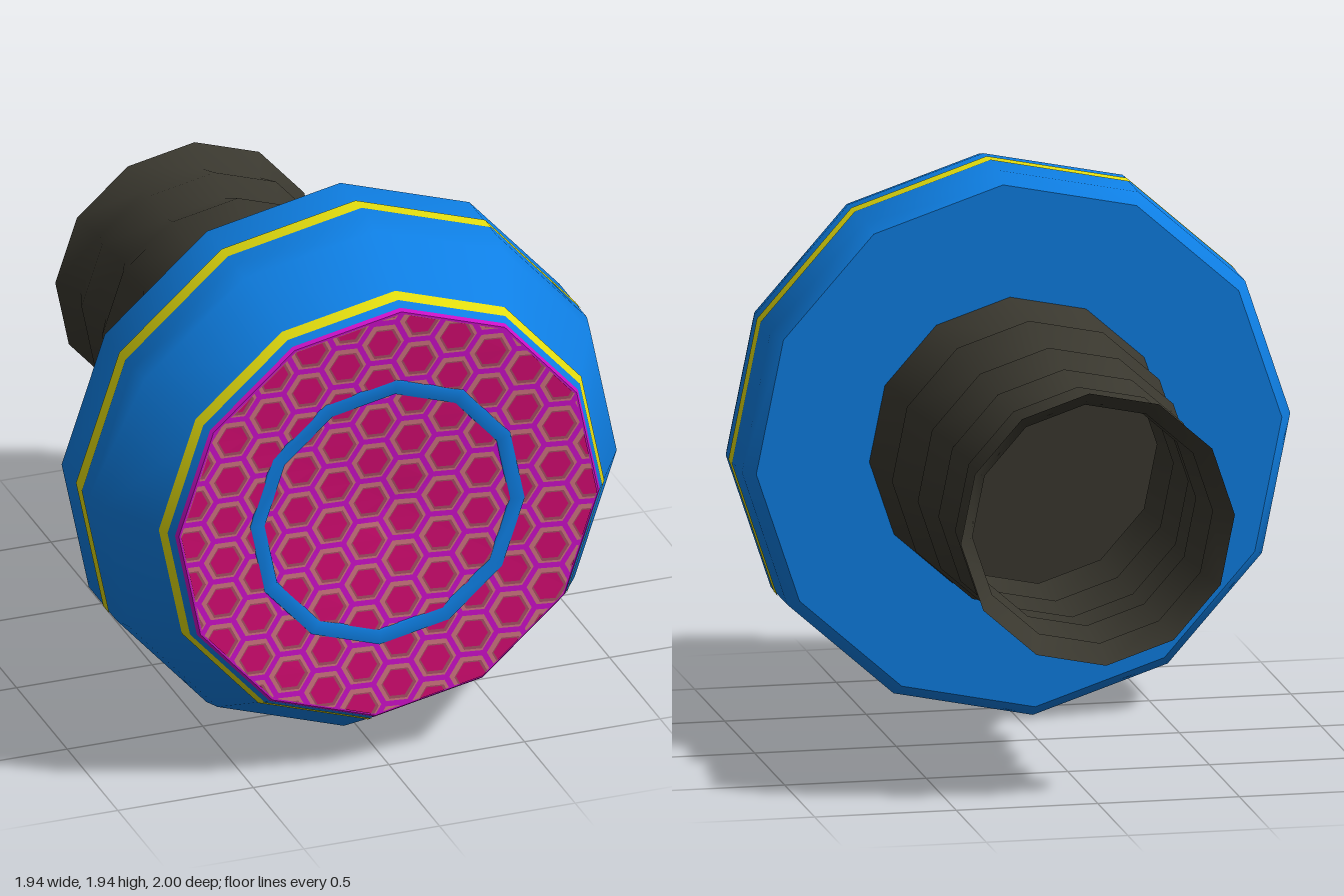
import * as THREE from 'three';

const SIDES = 12, CENTRE_Y = 0.97, TILT = -3.5 * Math.PI / 180;

const mat = (name, color, side = THREE.FrontSide) => {
  const m = new THREE.MeshStandardMaterial({ color, side });
  m.name = name;
  return m;
};

// Twelve-sided surface of revolution about z; profile points are [radius, z]
function turned(name, profile, material) {
  const geo = new THREE.LatheGeometry(profile.map(([r, z]) => new THREE.Vector2(r, z)), SIDES);
  geo.rotateX(Math.PI / 2);
  const mesh = new THREE.Mesh(geo, material);
  mesh.name = name;
  return mesh;
}

// Unit normals of the twelve sides of the face
const sideNormals = Array.from({ length: SIDES }, (_, i) => {
  const a = (i + 0.5) * 2 * Math.PI / SIDES;
  return [Math.cos(a), Math.sin(a)];
});
const polyRadius = (x, y) =>
  Math.max(...sideNormals.map(([nx, ny]) => x * nx + y * ny)) / Math.cos(Math.PI / SIDES);

// Height of the shallow dish at a given radius
const dishZ = r => 0.952 + 0.058 * r;

// Cut a polygon to the twelve-sided outline of the face
function clipToFace(poly, radius) {
  const limit = radius * Math.cos(Math.PI / SIDES);
  for (const [nx, ny] of sideNormals) {
    const out = [];
    poly.forEach((p, i) => {
      const q = poly[(i + 1) % poly.length];
      const dp = p[0] * nx + p[1] * ny - limit, dq = q[0] * nx + q[1] * ny - limit;
      if (dp <= 0) out.push(p);
      if ((dp <= 0) !== (dq <= 0)) {
        const t = dp / (dp - dq);
        out.push([p[0] + (q[0] - p[0]) * t, p[1] + (q[1] - p[1]) * t]);
      }
    });
    poly = out;
    if (poly.length < 3) return [];
  }
  return poly;
}

// Honeycomb of thin hexagons lying on the dish
function honeycomb(name, size, lift, shift, material) {
  const pitch = 0.155, pos = [];
  for (let i = -8; i <= 8; i++) {
    for (let j = -12; j <= 12; j++) {
      const cx = -0.06 + i * pitch * Math.sqrt(3) / 2 + shift;
      const cy = -0.114 + (j + (Math.abs(i) % 2) / 2) * pitch - shift;
      if (Math.hypot(cx, cy) > 0.9) continue;
      const hex = Array.from({ length: 6 }, (_, k) =>
        [cx + size * Math.cos(k * Math.PI / 3), cy + size * Math.sin(k * Math.PI / 3)]);
      const pts = clipToFace(hex, 0.768).map(([x, y]) => [x, y, dishZ(polyRadius(x, y)) + lift]);
      for (let k = 1; k < pts.length - 1; k++) pos.push(...pts[0], ...pts[k], ...pts[k + 1]);
    }
  }
  const geo = new THREE.BufferGeometry();
  geo.setAttribute('position', new THREE.Float32BufferAttribute(pos, 3));
  geo.computeVertexNormals();
  const mesh = new THREE.Mesh(geo, material);
  mesh.name = name;
  return mesh;
}

export function createModel() {
  const blue = mat('blue', 0x0e7fe4);
  const yellow = mat('yellow', 0xe4de0e);
  const magenta = mat('magenta', 0xcc10c8);
  const crimson = mat('crimson', 0xd40b72);
  const salmon = mat('salmon', 0xd07480);
  const brown = mat('brown', 0xa85066);
  const charcoal = mat('charcoal', 0x3a382f, THREE.DoubleSide);

  const model = new THREE.Group();
  model.name = 'model';
  const head = new THREE.Group();
  head.name = 'head';
  const hose = new THREE.Group();
  hose.name = 'hose';

  // Drum-shaped housing
  head.add(
    turned('backPlate', [[0.45, 0.31], [0.93, 0.31]], blue),
    turned('housing', [[0.93, 0.31], [0.97, 0.36], [0.97, 0.63], [0.95, 0.71], [0.785, 0.985]], blue),
    turned('sideStripe', [[0.973, 0.51], [0.973, 0.57]], yellow),
    turned('frontStripe', [[0.823, 0.927], [0.803, 0.96]], yellow)
  );

  // Dished honeycomb face with a ring
  head.add(
    turned('faceRim', [[0.785, 0.985], [0.775, dishZ(0.775)]], magenta),
    turned('face', [[0.775, dishZ(0.775)], [0.4, dishZ(0.4)], [0, dishZ(0)]], magenta),
    honeycomb('cellBorders', 0.078, 0.002, 0, salmon),
    honeycomb('cellShades', 0.064, 0.004, 0.004, brown),
    honeycomb('cells', 0.055, 0.006, 0, crimson),
    turned('faceRing', [[0.508, dishZ(0.508)], [0.505, dishZ(0.505) + 0.009],
      [0.455, dishZ(0.455) + 0.009], [0.452, dishZ(0.452)]], blue)
  );

  // Ribbed open hose, listed from its back end
  hose.add(
    turned('ribbedTube', [[0.485, -1], [0.425, -0.91], [0.463, -0.8], [0.41, -0.7], [0.473, -0.57],
      [0.436, -0.45], [0.493, -0.32], [0.443, -0.17], [0.516, 0], [0.447, 0.12], [0.53, 0.31]], charcoal),
    turned('hoseFloor', [[0, 0.305], [0.525, 0.305]], charcoal)
  );

  model.add(head, hose);
  for (const part of [head, hose]) {
    part.position.y = CENTRE_Y;
    part.rotation.z = TILT;
  }
  return model;
}
